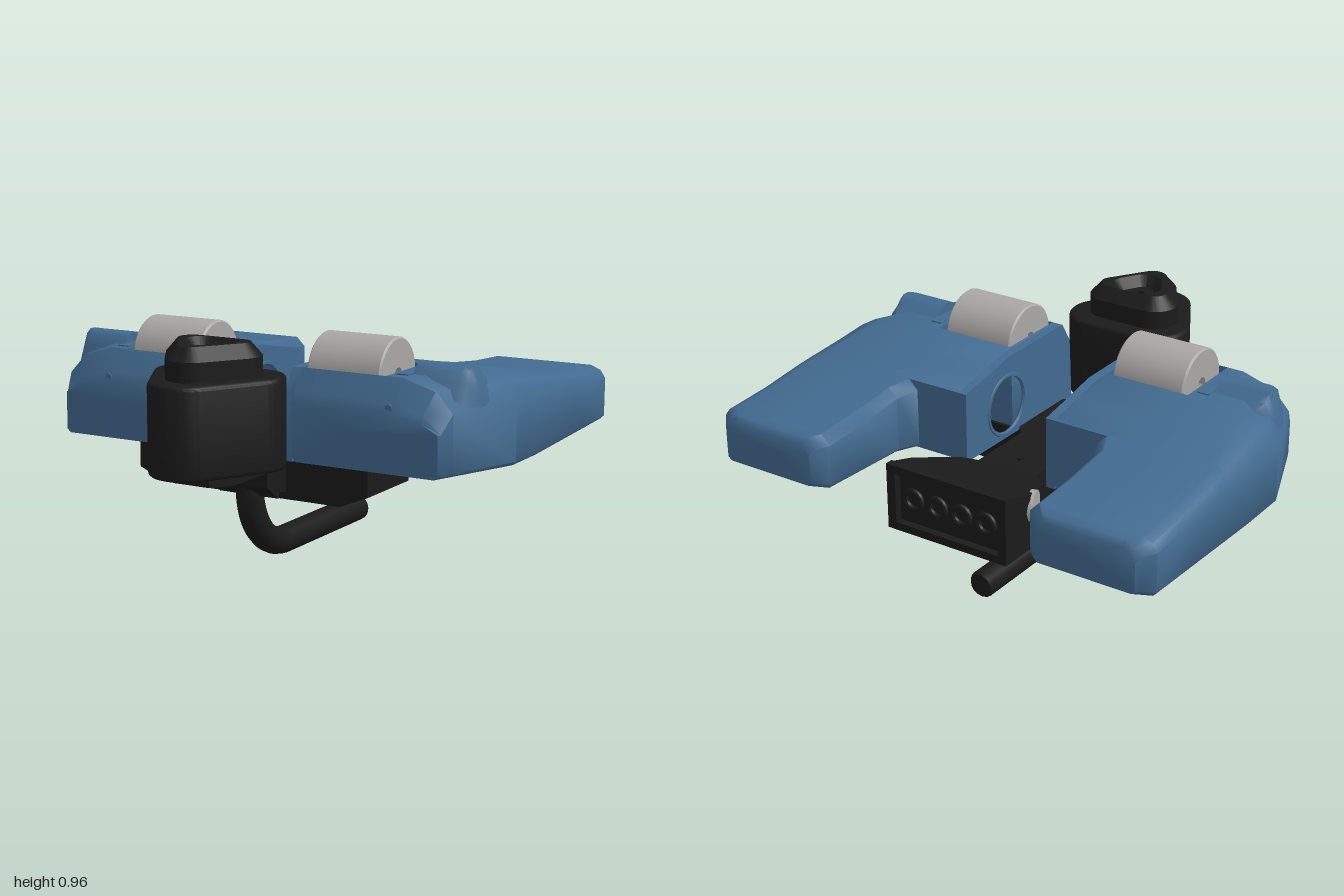
import * as THREE from 'three';
import { toCreasedNormals } from 'three/addons/utils/BufferGeometryUtils.js';

const paint = (name, color) => {
  const m = new THREE.MeshStandardMaterial({ color });
  m.name = name;
  return m;
};

export function createModel() {
  const blue = paint('blue shell', 0x426b90);
  const black = paint('black plastic', 0x1b1b1b);
  const grey = paint('grey roller', 0xaaa7a6);

  const model = new THREE.Group();
  model.name = 'controlUnit';

  const add = (parent, name, geo, mat, x = 0, y = 0, z = 0, crease = 0.6) => {
    const mesh = new THREE.Mesh(toCreasedNormals(geo, crease), mat);
    mesh.name = name;
    mesh.position.set(x, y, z);
    parent.add(mesh);
    return mesh;
  };
  const poly = pts => new THREE.Shape(pts.map(p => new THREE.Vector2(p[0], p[1])));
  const circle = (x, y, r) => new THREE.Path().absarc(x, y, r, 0, Math.PI * 2, true);
  const extrude = (shape, depth, opts = {}) =>
    new THREE.ExtrudeGeometry(shape, { depth, bevelEnabled: false, curveSegments: 12, ...opts });
  // extrude a (z, y) profile along x, and an (x, -z) plan along y
  const alongX = (pts, x0, x1, hole) => {
    const s = poly(pts.map(([z, y]) => [-z, y]));
    if (hole) s.holes.push(circle(-hole[0], hole[1], hole[2]));
    return extrude(s, x1 - x0).rotateY(Math.PI / 2).translate(x0, 0, 0);
  };
  const alongY = (shape, y0, y1, opts) => extrude(shape, y1 - y0, opts).rotateX(-Math.PI / 2).translate(0, y0, 0);

  // rounded triangle plan pointing to the front
  const roundTri = (cx, zBack, zTip, r, S = THREE.Shape) => {
    const n = Math.atan2(zTip - zBack, cx) - Math.PI / 2;
    const s = new S();
    s.absarc(0, -zTip, r, -Math.PI - n, n, false);
    s.absarc(cx, -zBack, r, n, Math.PI / 2, false);
    s.absarc(-cx, -zBack, r, Math.PI / 2, Math.PI - n, false);
    s.closePath();
    return s;
  };

  // skin a list of equal cross-sections and close both ends
  const loft = sections => {
    const n = sections[0].length, pos = sections.flat(2), idx = [];
    for (let s = 0; s < sections.length - 1; s++)
      for (let i = 0; i < n; i++) {
        const j = (i + 1) % n, a = s * n + i, b = s * n + j, c = a + n, d = b + n;
        idx.push(a, c, b, b, c, d);
      }
    [0, sections.length - 1].forEach((s, end) => {
      const mid = [0, 1, 2].map(k => sections[s].reduce((t, p) => t + p[k], 0) / n);
      const m = pos.length / 3;
      pos.push(...mid);
      for (let i = 0; i < n; i++) {
        const a = s * n + i, b = s * n + (i + 1) % n;
        idx.push(m, ...(end ? [b, a] : [a, b]));
      }
    });
    const g = new THREE.BufferGeometry();
    g.setAttribute('position', new THREE.Float32BufferAttribute(pos, 3));
    g.setIndex(idx);
    return g;
  };

  // ---- side pods: (z, top) of the cross-sections from front to back ----
  const slices = [
    [0.40, 0.70], [0.385, 0.74], [0.33, 0.83], [0.325, 0.83], [0.02, 0.83], [0.015, 0.83], [0.01, 0.83],
    [-0.06, 0.828], [-0.20, 0.80], [-0.33, 0.777], [-0.335, 0.776], [-0.36, 0.772], [-0.361, 0.772],
    [-0.45, 0.758], [-0.65, 0.735], [-0.87, 0.722], [-0.915, 0.712], [-0.93, 0.69],
  ];
  // value running from a at z0 (front) to b at z1 (back), constant beyond
  const ramp = (z, z0, z1, a, b) => a + (b - a) * THREE.MathUtils.clamp((z0 - z) / (z0 - z1), 0, 1);
  const section = ([z, top]) => {
    const rear = z < -0.3605;
    const tail = ramp(z, -0.87, -0.93, 0, 0.055);
    const xi = (rear ? ramp(z, -0.361, -0.45, 0.43, 0.465) : 0.23) + tail;
    const xo = ramp(z, 0.4, 0.02, 0.855, 1) - tail;
    const yb = ramp(z, -0.2, -0.93, 0.47, 0.5) + tail * 0.3;
    const w = ramp(z, 0.33, -0.45, 0.21, 0.065);
    const drop = Math.min(top - 0.64, ramp(z, 0, -0.4, 0.12, 0.05));
    const c = rear ? 0.04 : 0.003;
    const pocket = z < 0.326 && z > 0.019 ? 0.25 : 0;
    const cavity = z < 0.011 && z > -0.331 ? 0.25 : 0;
    const low = cavity ? top - 0.05 : yb + 0.015;
    const p0 = xi + c + 0.007, p1 = Math.max(0.6, xi + 0.2);
    return [
      [xo - 0.015, yb], [xo, yb + 0.015], [xo, top - drop], [xo - w * 0.35, top - drop * 0.35], [xo - w, top],
      [p1, top], [p1, top - pocket], [p0, top - pocket], [p0, top],
      [xi + c, top], [xi, top - c], [xi, low], [xi + cavity, low], [xi + 0.015 + cavity, yb],
    ].map(([x, y]) => [x, y, z]);
  };

  // axle fairing profile (z, y) and its sections (x, height, width) from the outer end inwards
  const fairing = [[0.03, 0.70], [0.05, 0.81], [0.10, 0.835], [0.13, 0.86], [0.155, 0.872], [0.195, 0.872], [0.225, 0.855], [0.25, 0.81], [0.31, 0.70]];
  const fairingSections = [[0.935, 0.25, 0.3], [0.918, 0.62, 0.5], [0.89, 1, 0.8], [0.86, 1, 1], [0.67, 1, 1]]
    .map(([x, ky, kz]) => fairing.map(([z, y]) => [x, 0.69 + (y - 0.69) * ky, 0.13 + 0.04 * kz + (z - 0.17) * kz]));

  for (const side of [1, -1]) {
    const pod = new THREE.Group();
    pod.name = side > 0 ? 'leftPod' : 'rightPod';
    pod.scale.x = side;
    model.add(pod);

    add(pod, 'podShell', loft(slices.map(section)), blue, 0, 0, 0, 0.8);

    // inner wall with its round opening
    const wall = [[0.40, 0.47], [0.385, 0.74], [0.33, 0.83], [-0.06, 0.828], [-0.2, 0.80], [-0.36, 0.772], [-0.36, 0.475]];
    add(pod, 'innerWall', alongX(wall, 0.19, 0.23, [-0.08, 0.62, 0.12]), blue);
    add(pod, 'openingRim', new THREE.TorusGeometry(0.128, 0.01, 6, 28).rotateY(Math.PI / 2), blue, 0.194, 0.62, -0.08);

    add(pod, 'axleFairing', loft(fairingSections), blue, 0, 0, 0, 0.9);
    add(pod, 'axleCover', new THREE.BoxGeometry(0.05, 0.03, 0.23), blue, 0.645, 0.82, 0.17);
    add(pod, 'frontScrew', new THREE.CylinderGeometry(0.015, 0.015, 0.02, 12).rotateX(Math.PI / 2), blue, 0.645, 0.72, 0.385);

    // thumb roller with a hub bore in each end
    const profile = [[0, -0.13], [0.03, -0.13], [0.03, -0.16], [0.142, -0.16], [0.149, -0.153], [0.149, 0.153], [0.142, 0.16], [0.03, 0.16], [0.03, 0.13], [0, 0.13]]
      .map(p => new THREE.Vector2(...p));
    add(pod, 'roller', new THREE.LatheGeometry(profile, 40).rotateZ(-Math.PI / 2), grey, 0.41, 0.806, 0.175);

    // bracket arm carrying the pod
    const arm = poly([[0, 0.30], [0.41, 0.30], [0.53, 0.35], [0.53, 0.475], [0, 0.475]]);
    add(pod, 'bracketArm', extrude(arm, 0.34), black);
  }

  // ---- central body ----
  const centre = new THREE.Group();
  centre.name = 'centralBody';
  model.add(centre);

  add(centre, 'neck', alongX([[0.43, 0.5], [0.43, 0.36], [0.35, 0.30], [-0.37, 0.335], [-0.37, 0.5]], -0.135, 0.135), black);
  const deck = poly([[-0.13, -0.38], [0.13, -0.38], [0.185, -0.32], [0.185, 0], [0.13, 0.06], [-0.13, 0.06], [-0.185, 0], [-0.185, -0.32]]);
  add(centre, 'deck', alongY(deck, 0.33, 0.49), black);
  for (const [x, z] of [[0, -0.26], [0, 0.17], [0, 0.28], [-0.045, 0.355], [0.045, 0.355]])
    add(centre, 'deckScrew', new THREE.CylinderGeometry(0.016, 0.016, 0.02, 12), black, x, 0.5, z);

  // rear connector box, its top falling towards the neck
  const box = poly([[0.28, 0.73], [-0.28, 0.73], [-0.28, 0.6], [-0.2, 0.39], [-0.12, 0.35], [0.12, 0.35], [0.2, 0.39], [0.28, 0.6]]);
  const boxGeo = alongY(box, 0.337, 0.62);
  const bp = boxGeo.attributes.position;
  for (let i = 0; i < bp.count; i++)
    if (bp.getY(i) > 0.5) bp.setY(i, 0.62 - 0.3 * (bp.getZ(i) + 0.76));
  boxGeo.computeVertexNormals();
  add(centre, 'connectorBox', boxGeo, black);

  // socket frame with four sockets in its recess
  const frame = poly([[-0.28, 0.337], [0.28, 0.337], [0.28, 0.615], [-0.28, 0.615]]);
  frame.holes.push(poly([[-0.24, 0.37], [-0.24, 0.58], [0.24, 0.58], [0.24, 0.37]]));
  add(centre, 'socketFrame', extrude(frame, 0.034), black, 0, 0, -0.762);
  for (let i = 0; i < 4; i++)
    add(centre, 'socket', new THREE.TorusGeometry(0.038, 0.012, 8, 16), black, -0.171 + i * 0.114, 0.475, -0.735);

  // small grey knobs on the right flank
  const knob = new THREE.CylinderGeometry(0.065, 0.065, 0.024, 12).rotateZ(Math.PI / 2);
  add(centre, 'rearKnob', knob, grey, -0.266, 0.5, -0.56).rotation.y = 0.36;
  add(centre, 'frontKnob', new THREE.CylinderGeometry(0.032, 0.032, 0.03, 10), grey, -0.165, 0.49, 0.255);

  // ---- front tower ----
  const tower = new THREE.Group();
  tower.name = 'frontTower';
  model.add(tower);
  const bored = shape => { shape.holes.push(circle(0, -0.635, 0.02)); return shape; };
  const bevel = (t, s, n) => ({ bevelEnabled: true, bevelThickness: t, bevelSize: s, bevelOffset: -s, bevelSegments: n });
  add(tower, 'towerBody', alongY(bored(roundTri(0.13, 0.555, 0.785, 0.145)), 0.485, 0.81, bevel(0.018, 0.018, 3)), black);
  const capPlan = roundTri(0.1, 0.59, 0.745, 0.1);
  capPlan.holes.push(roundTri(0.035, 0.61, 0.67, 0.03, THREE.Path));
  add(tower, 'towerCap', alongY(capPlan, 0.82, 0.905, bevel(0.052, 0.045, 1)), black);
  add(tower, 'towerCapFloor', alongY(bored(roundTri(0.08, 0.6, 0.72, 0.06)), 0.82, 0.915), black);
  add(tower, 'mountPlate', alongY(bored(poly([[-0.14, -0.39], [-0.14, -0.68], [-0.08, -0.755], [0.08, -0.755], [0.14, -0.68], [0.14, -0.39]])), 0.42, 0.475), black);

  // ---- bent hook under the body ----
  const hook = new THREE.CurvePath();
  const v = (y, z) => new THREE.Vector3(0, y, z);
  hook.add(new THREE.LineCurve3(v(0.43, 0.343), v(0.33, 0.343)));
  hook.add(new THREE.CubicBezierCurve3(v(0.33, 0.343), v(0.18, 0.343), v(0.057, 0.23), v(0.057, 0.08)));
  hook.add(new THREE.LineCurve3(v(0.057, 0.08), v(0.057, -0.535)));
  add(model, 'hook', new THREE.TubeGeometry(hook, 60, 0.057, 16), black);
  add(model, 'hookEnd', new THREE.CylinderGeometry(0.057, 0.047, 0.012, 16).rotateX(Math.PI / 2), black, 0, 0.057, -0.54);

  return model;
}
